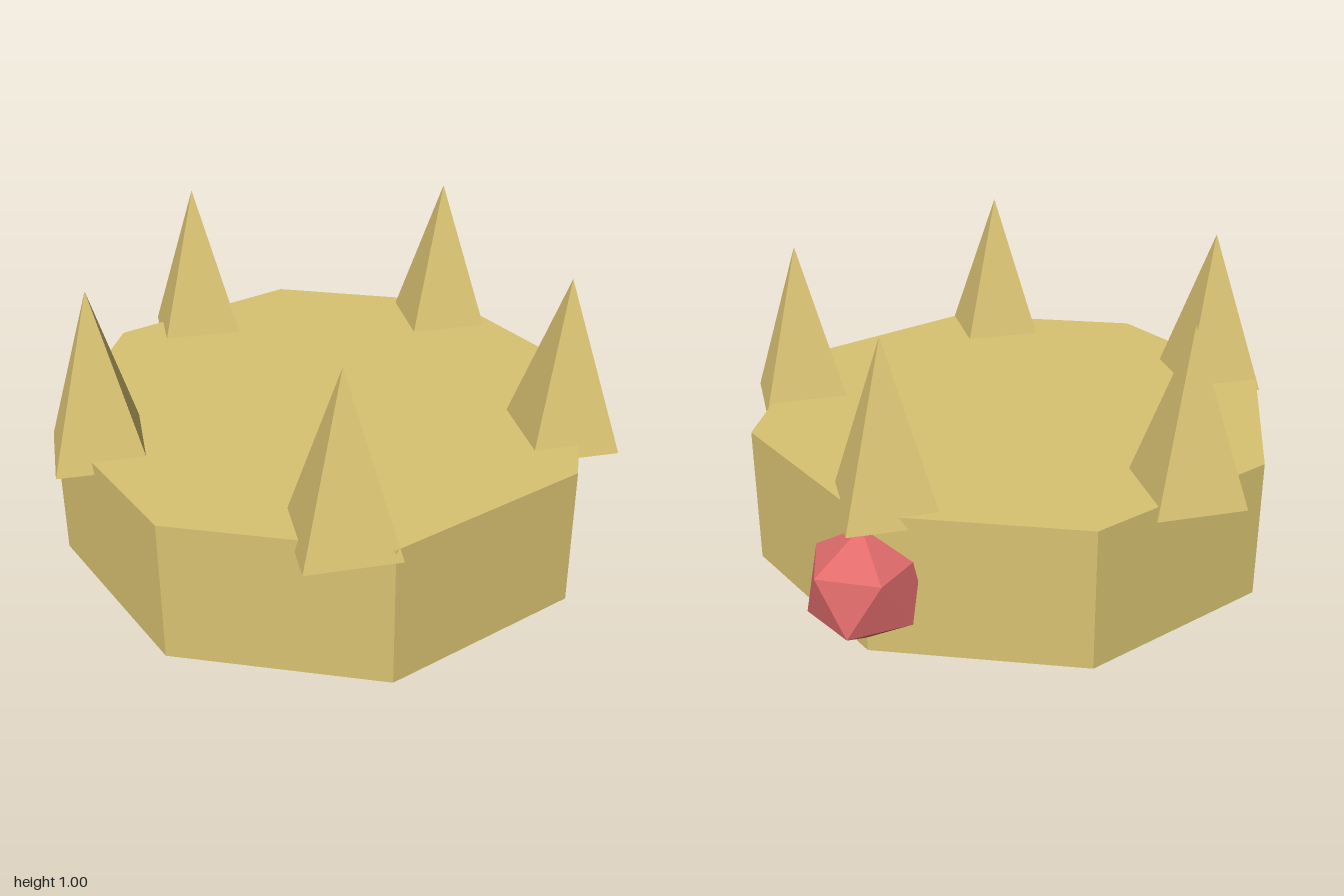
import * as THREE from 'three';

const gold = new THREE.MeshStandardMaterial({ name: 'gold', color: 0xd9c372, flatShading: true });
const red = new THREE.MeshStandardMaterial({ name: 'gem red', color: 0xe06b6b, flatShading: true });

const CENTRE_Z = 0.083;

export function createModel() {
  const group = new THREE.Group();
  group.name = 'crown';

  const add = (name, geometry, material, x, y, z) => {
    const mesh = new THREE.Mesh(geometry, material);
    mesh.name = name;
    mesh.position.set(x, y, z);
    group.add(mesh);
  };

  // Solid eight-sided band with a corner at front and back
  add('band', new THREE.CylinderGeometry(0.915, 0.915, 0.48, 8), gold, 0, 0.24, CENTRE_Z);

  // Five four-sided spikes in a ring, all facing the same way, sunk slightly into the band
  const spike = new THREE.ConeGeometry(0.207, 0.56, 4);
  for (let i = 0; i < 5; i++) {
    const a = (i / 5) * Math.PI * 2;
    add(`spike${i + 1}`, spike, gold, Math.sin(a) * 0.785, 0.72, CENTRE_Z - Math.cos(a) * 0.785);
  }

  // Faceted gem on the back corner, turned to stand on one of its points
  const gem = new THREE.IcosahedronGeometry(0.196, 0);
  gem.rotateZ(-Math.atan(2 / (1 + Math.sqrt(5))));
  add('gem', gem, red, 0, 0.243, CENTRE_Z - 0.915);

  return group;
}
